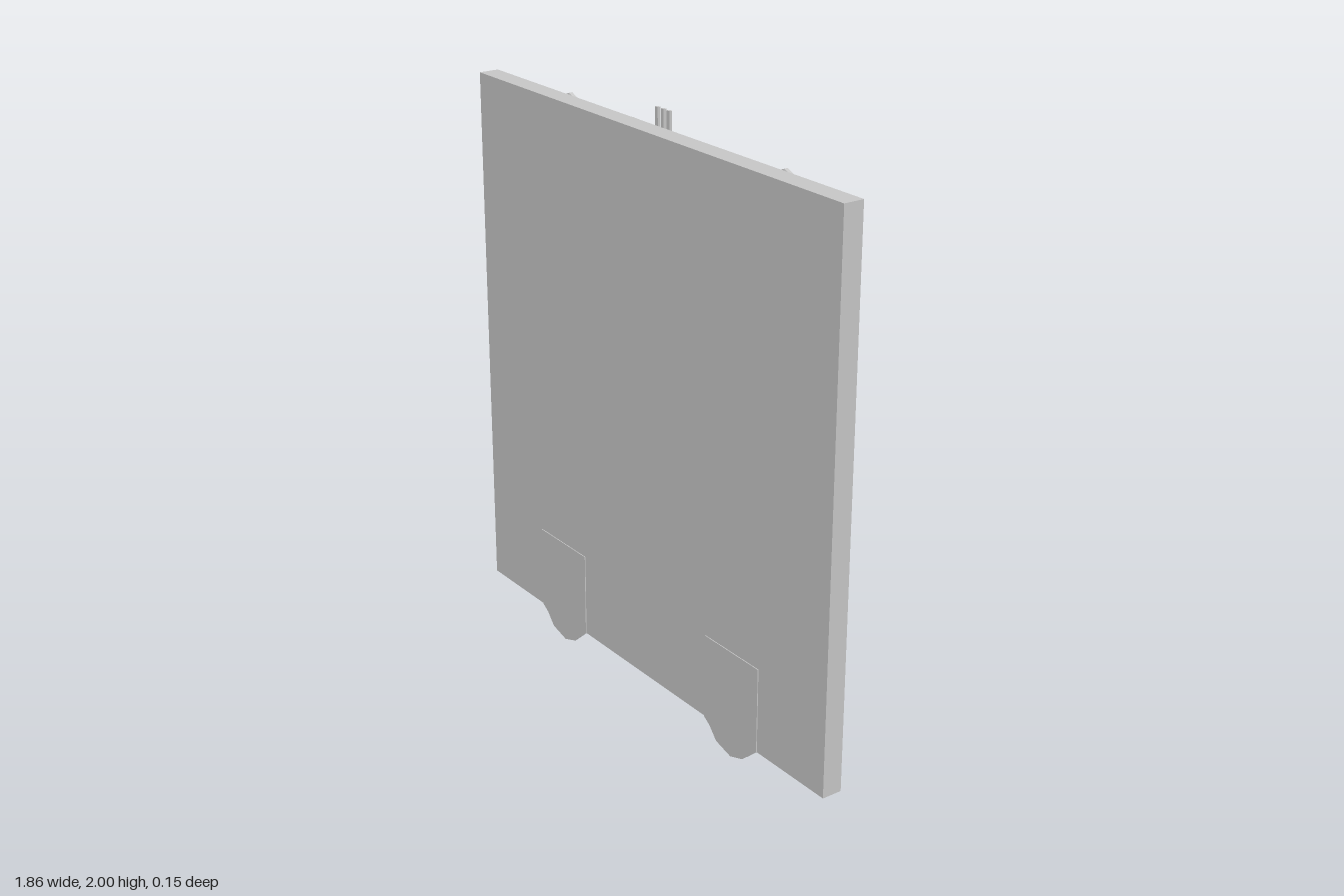
import * as THREE from 'three';

const grey = new THREE.MeshStandardMaterial({ color: 0xc6c6c6, flatShading: true, side: THREE.DoubleSide });
grey.name = 'light grey';

export function createModel() {
  const model = new THREE.Group();
  const add = (name, geometry, x = 0, y = 0, z = 0) => {
    const mesh = new THREE.Mesh(geometry, grey);
    mesh.name = name;
    mesh.position.set(x, y, z);
    model.add(mesh);
    return mesh;
  };
  // box given by its lower and upper corners
  const box = (name, a, b) => add(name,
    new THREE.BoxGeometry(b[0] - a[0], b[1] - a[1], b[2] - a[2]),
    (a[0] + b[0]) / 2, (a[1] + b[1]) / 2, (a[2] + b[2]) / 2);
  // turned part whose axis points backwards; profile is [radius, depth]
  const turned = (name, profile, sides, x, y, z) => {
    const points = profile.map(([r, d]) => new THREE.Vector2(r, d));
    add(name, new THREE.LatheGeometry(points, sides).rotateX(-Math.PI / 2), x, y, z);
  };
  const facets = (name, points, faces) => {
    const g = new THREE.BufferGeometry();
    g.setAttribute('position', new THREE.Float32BufferAttribute(points.flat(), 3));
    g.setIndex(faces.flat());
    const flat = g.toNonIndexed();
    flat.computeVertexNormals();
    add(name, flat);
  };

  // main slab
  box('panel', [-0.93, 0.085, 0.005], [0.93, 1.945, 0.075]);

  // rounded feet hanging from the front face
  for (const x of [-0.475, 0.475]) {
    const outline = [[-0.135, 0.38], [-0.135, 0.085], [-0.105, 0.065], [-0.07, 0.025], [0.005, 0.005],
      [0.065, 0.025], [0.1, 0.055], [0.135, 0.085], [0.135, 0.38]];
    const shape = new THREE.Shape(outline.map(([u, v]) => new THREE.Vector2(u, v)));
    add('foot', new THREE.ExtrudeGeometry(shape, { depth: 0.004, bevelEnabled: false }), x, 0, 0.074);
  }

  // raised plate on the back
  box('backPlate', [-0.735, 0.285, -0.004], [0.735, 1.75, 0.006]);

  // shallow faceted bulge with a cable notch at the top
  const z = -0.005;
  facets('backBulge', [
    [0.735, 1.75, z], [-0.735, 1.75, z], [0, 1.62, -0.036],
    [0.075, 1.08, z], [-0.075, 1.08, z],
    [0.07, 1.74, -0.014], [-0.07, 1.74, -0.014],
    [0.07, 1.75, z], [-0.07, 1.75, z], [0, 1.74, z],
  ], [
    [0, 2, 3], [1, 4, 2], [2, 4, 3],
    [0, 5, 2], [1, 2, 6], [0, 7, 5], [1, 6, 8],
    [5, 9, 2], [6, 2, 9], [5, 7, 9], [6, 9, 8],
  ]);

  // small block with a narrowed outer face
  const block = new THREE.BoxGeometry(0.15, 0.15, 0.014);
  const p = block.attributes.position;
  for (let i = 0; i < p.count; i++) {
    if (p.getZ(i) < 0) p.setXY(i, p.getX(i) * 0.92, p.getY(i) * 0.88);
  }
  add('centreBlock', block, 0, 1.01, -0.01);

  // corner bolts and the straps that join them to the plate
  const bolt = [[0, 0], [0.03, 0], [0.03, 0.012], [0.018, 0.016], [0.018, 0.026], [0.046, 0.036],
    [0.046, 0.048], [0.026, 0.058], [0.011, 0.06], [0.011, 0.08], [0, 0.08]];
  for (const x of [-0.55, 0.55]) {
    for (const y of [0.14, 1.89]) turned('cornerBolt', bolt, 8, x, y, 0.006);
    box('upperStrap', [x - 0.014, 1.74, -0.01], [x + 0.014, 1.88, 0]);
    box('lowerStrap', [x - 0.014, 0.14, -0.01], [x + 0.014, 0.29, 0]);
  }

  // cables rising from the notch
  for (const x of [-0.03, 0, 0.03]) box('cable', [x - 0.007, 1.66, -0.012], [x + 0.007, 2, -0.002]);

  // clamp: three pointed fingers, a wedge and a screw
  for (const y of [1.85, 1.88, 1.91]) {
    const finger = new THREE.Shape();
    finger.moveTo(0.1, 0);
    finger.lineTo(0.05, 0.008);
    finger.lineTo(-0.22, 0.008);
    finger.lineTo(-0.22, -0.008);
    finger.lineTo(0.05, -0.008);
    add('clampFinger', new THREE.ExtrudeGeometry(finger, { depth: 0.014, bevelEnabled: false }), 0, y, -0.026);
  }
  const wedge = new THREE.Shape();
  wedge.moveTo(-0.32, 0.005);
  wedge.lineTo(-0.14, 0.005);
  wedge.lineTo(-0.17, -0.04);
  wedge.lineTo(-0.21, -0.042);
  wedge.lineTo(-0.31, -0.01);
  const wedgeGeometry = new THREE.ExtrudeGeometry(wedge, { depth: 0.09, bevelEnabled: false });
  add('clampWedge', wedgeGeometry.rotateX(Math.PI / 2), 0, 1.925, 0);
  turned('clampScrew', [[0.012, 0], [0.012, 0.05], [0.026, 0.054], [0.026, 0.064], [0, 0.066]], 8, -0.28, 1.88, 0);
  turned('smallScrew', [[0.02, 0], [0.02, 0.008], [0.012, 0.014], [0, 0.014]], 8, 0.28, 1.89, 0.005);

  return model;
}
